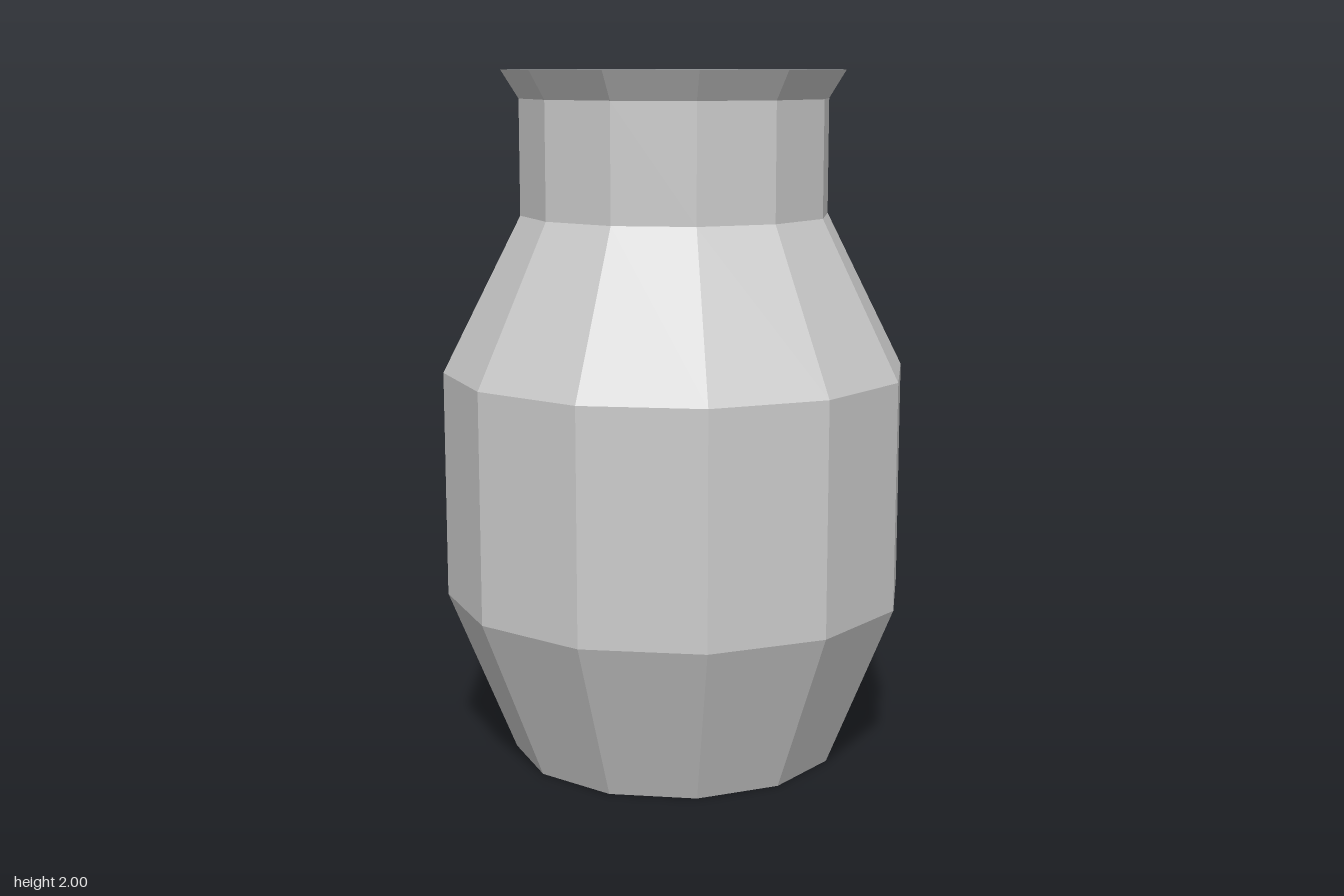
import * as THREE from 'three';

const SIDES = 12;

// Outer profile as [radius, height], from foot to lip
const BODY = [[0.48, 0], [0.675, 0.48], [0.675, 1.14], [0.447, 1.59]];
const NECK = [[0.447, 1.59], [0.447, 1.92]];
const RIM = [[0.447, 1.92], [0.497, 2]];

export function createModel() {
  const group = new THREE.Group();
  group.name = 'vase';
  const material = new THREE.MeshStandardMaterial({
    color: 0xcccccc, flatShading: true, side: THREE.DoubleSide,
  });

  const add = (name, geometry) => {
    const mesh = new THREE.Mesh(geometry, material);
    mesh.name = name;
    group.add(mesh);
    return mesh;
  };
  const turned = (profile) =>
    new THREE.LatheGeometry(profile.map(([r, y]) => new THREE.Vector2(r, y)), SIDES);

  // Thin open shell
  add('body', turned(BODY));
  add('neck', turned(NECK));
  add('flaredRim', turned(RIM));

  // Floor, facing down
  add('base', new THREE.CircleGeometry(BODY[0][0], SIDES).rotateX(Math.PI / 2));

  return group;
}
